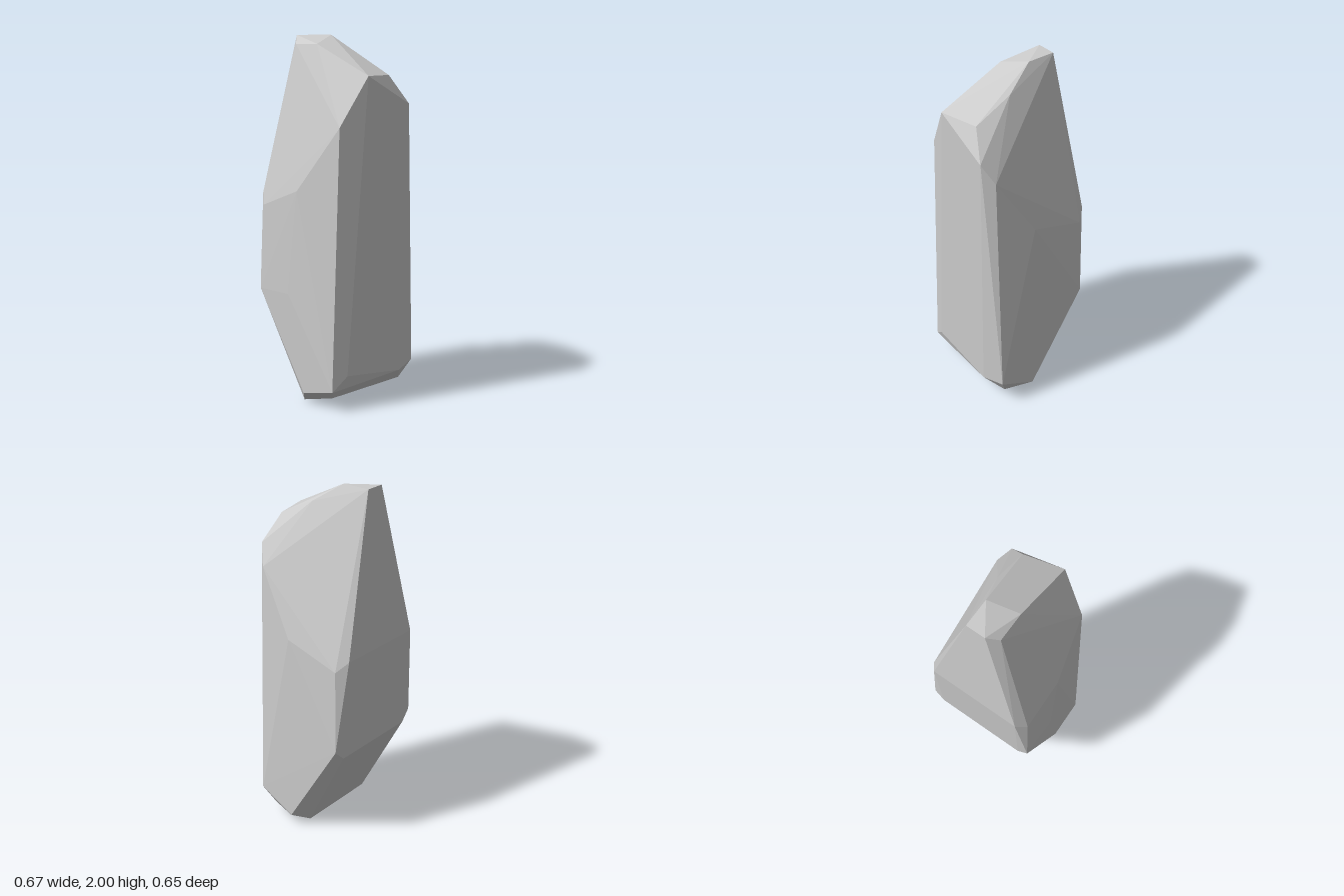
import * as THREE from 'three';
import { ConvexGeometry } from 'three/addons/geometries/ConvexGeometry.js';

const points = (rows) => rows.map(([x, y, z]) => new THREE.Vector3(x, y, z));

// Corners that appear on both sides: [half width, y, z]
const mirrored = [
  [0.27, 1.52, 0.27],   // front shoulder
  [0.27, 1.13, -0.325], // back ridge
  [0.317, 1.07, -0.27], // back ridge bevel
  [0.332, 0.6, -0.285], // lower back bevel
  [0.27, 0.54, -0.29],  // start of the undercut
  [0.325, 0.06, 0.05],  // foot sides
  [0.27, 0.055, 0.215], // foot front
];

export function createModel() {
  const group = new THREE.Group();
  group.name = 'rock';

  const corners = points([
    // chipped peak
    [-0.055, 2, -0.27], [0.055, 2, -0.27], [0.055, 2, -0.11],
    [-0.11, 1.95, -0.22], [-0.11, 1.95, -0.055], [0.11, 1.89, 0.055],
    // brow of the front face
    [-0.11, 1.785, 0.325], [0.11, 1.785, 0.27], [0.215, 1.63, 0.325],
    // widest points of the flanks
    [0.322, 1.17, 0.05], [-0.322, 1.17, 0], [-0.335, 0.6, -0.06],
    // lower edge of the front face
    [-0.325, 0.11, 0.27], [-0.24, 0.19, 0.3], [0.18, 0.135, 0.3], [0.322, 0.165, 0.27],
    // ground edge
    [-0.27, 0, 0], [0.215, 0, 0],
  ]);
  for (const [x, y, z] of mirrored) corners.push(...points([[x, y, z], [-x, y, z]]));

  // Faceted stone body
  const stone = new THREE.Mesh(
    new ConvexGeometry(corners),
    new THREE.MeshStandardMaterial({ color: 0xcccccc, flatShading: true })
  );
  stone.name = 'stoneBody';
  group.add(stone);
  return group;
}
